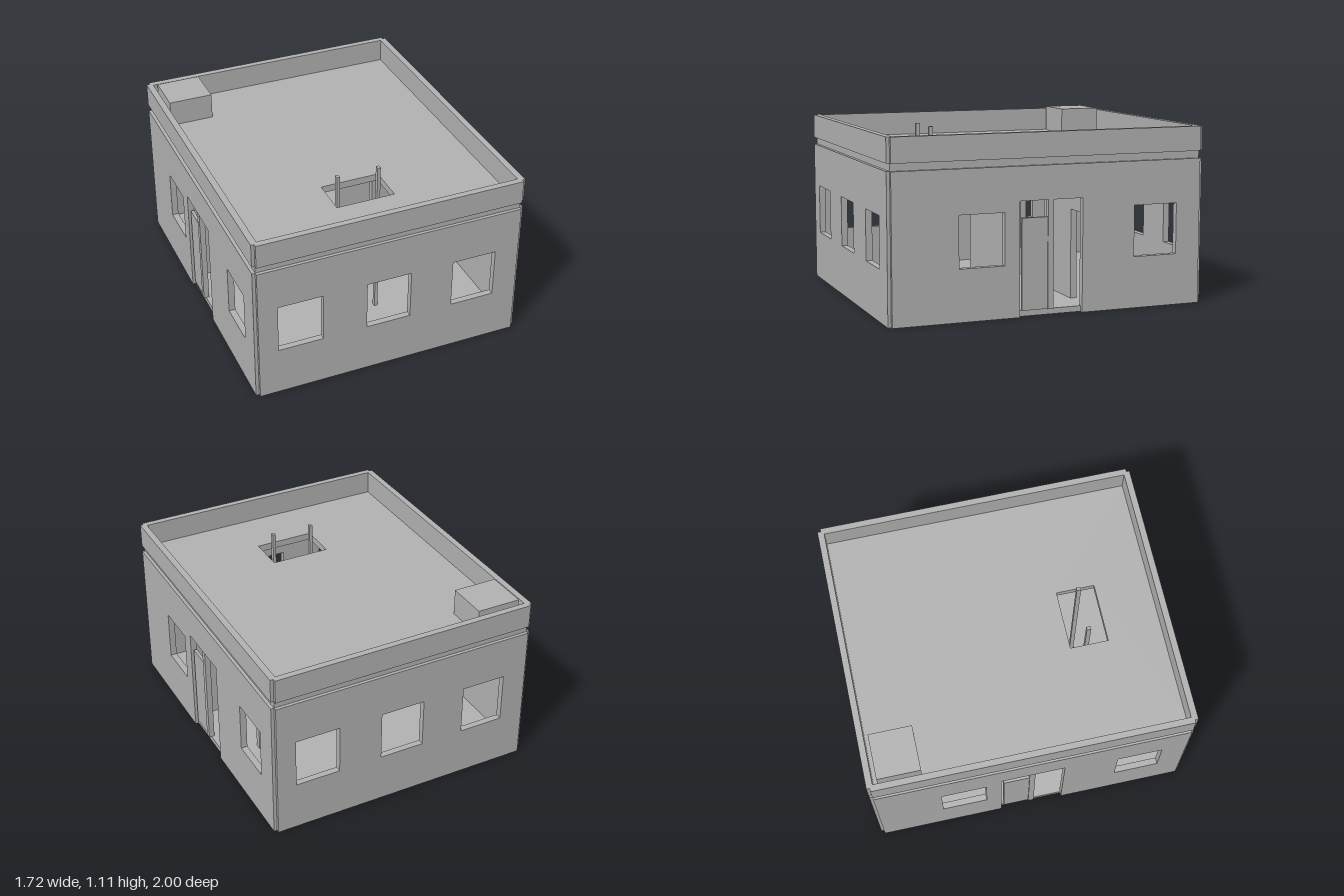
import * as THREE from 'three';

const WALL = 0.04;

// Rectangle corners as a closed outline
const rect = (x0, x1, y0, y1) => [[x0, y0], [x1, y0], [x1, y1], [x0, y1]].map(p => new THREE.Vector2(...p));

// Flat panel cut from an outline with rectangular holes
function panel(outline, holes, depth) {
  const shape = new THREE.Shape(outline);
  for (const h of holes) shape.holes.push(new THREE.Path(rect(...h)));
  return new THREE.ExtrudeGeometry(shape, { depth, bevelEnabled: false });
}

export function createModel() {
  const model = new THREE.Group();
  model.name = 'flatRoofHouse';
  const plaster = new THREE.MeshStandardMaterial({ color: 0xb2b2b2 });
  plaster.name = 'greyPlaster';

  const add = (parent, name, geometry) => {
    const mesh = new THREE.Mesh(geometry, plaster);
    mesh.name = name;
    parent.add(mesh);
    return mesh;
  };
  const block = (parent, name, x0, x1, y0, y1, z0, z1) => {
    const mesh = add(parent, name, new THREE.BoxGeometry(x1 - x0, y1 - y0, z1 - z0));
    mesh.position.set((x0 + x1) / 2, (y0 + y1) / 2, (z0 + z1) / 2);
    return mesh;
  };

  // Floor slab, and roof slab with the hatch; both sit back from the wall faces
  block(model, 'floor', -0.84, 0.84, 0.002, 0.037, -0.98, 0.98);
  const roof = panel(rect(-0.84, 0.84, -0.98, 0.98), [[-0.19, 0.185, -0.62, -0.38]], 0.045);
  roof.rotateX(-Math.PI / 2);
  add(model, 'roof', roof).position.y = 0.895;

  // The two halves of the house are the same, turned half round
  for (let i = 0; i < 2; i++) {
    const half = new THREE.Group();
    half.name = i ? 'backHalf' : 'frontHalf';
    half.rotation.y = i * Math.PI;
    model.add(half);

    // Long face with three windows
    const windows = [-0.718, -0.156, 0.402].map(x => [x, x + 0.283, 0.313, 0.626]);
    add(half, 'windowWall', panel(rect(-0.84, 0.84, 0, 0.895), windows, WALL)).position.z = 0.96;
    block(half, 'parapet', -0.84, 0.84, 0.94, 1.09, 0.96, 1);

    // Side with a doorway between two windows
    const side = new THREE.Group();
    side.name = 'doorSide';
    side.rotation.y = Math.PI / 2;
    half.add(side);
    const outline = [[-0.98, 0], [-0.2, 0], [-0.2, 0.69], [0.2, 0.69], [0.2, 0], [0.98, 0], [0.98, 0.895], [-0.98, 0.895]]
      .map(p => new THREE.Vector2(...p));
    const sideWindows = [[-0.576, -0.295, 0.315, 0.628], [0.54, 0.822, 0.315, 0.628]];
    add(side, 'doorWall', panel(outline, sideWindows, WALL)).position.z = 0.82;
    block(side, 'sideParapet', -0.98, 0.98, 0.94, 1.09, 0.82, 0.86);
    block(side, 'doorPost', -0.02, 0.016, 0.037, 0.69, 0.82, 0.855);
    block(side, 'doorLeaf', -0.182, -0.02, 0.037, 0.588, 0.828, 0.848);

    // Inner wall in two pieces, with a doorway beside the outer wall
    const inner = [[-0.62, 0.037], [-0.2, 0.037], [-0.2, 0.895], [-0.82, 0.895], [-0.82, 0.588], [-0.62, 0.588]]
      .map(p => new THREE.Vector2(...p));
    add(half, 'innerWallWithDoorway', panel(inner, [], WALL)).position.z = 0.23;
    block(half, 'innerWall', 0.2, 0.82, 0.037, 0.895, 0.23, 0.27);
  }

  // Ladder rails rising through the hatch
  for (const x of [-0.135, 0.13]) block(model, 'ladderRail', x - 0.01, x + 0.01, 0.037, 1.075, 0.488, 0.515);

  // Box in the back corner of the roof
  block(model, 'roofBox', -0.8, -0.52, 0.94, 1.105, -0.932, -0.666);

  return model;
}
